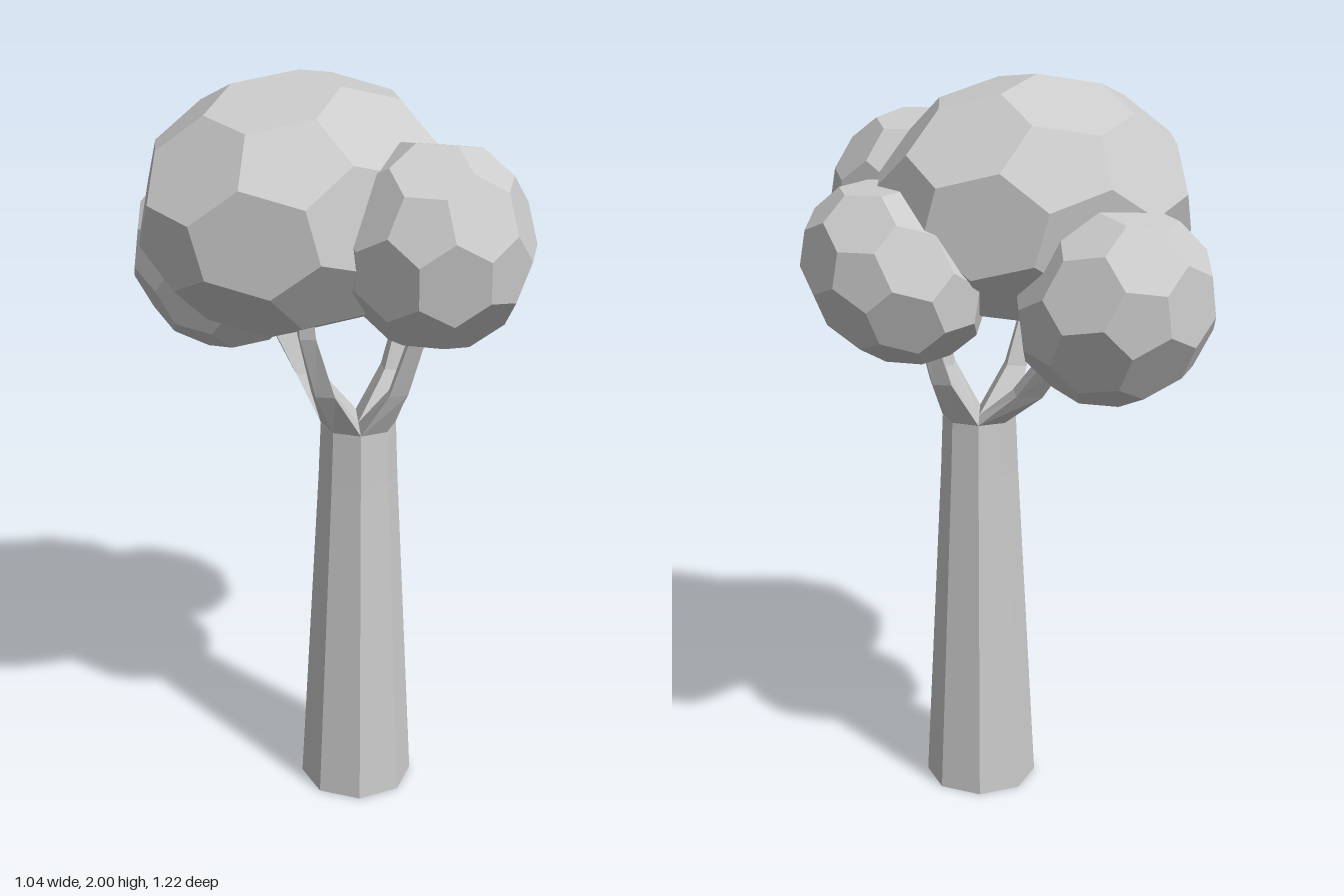
import * as THREE from 'three';
import { ConvexGeometry } from 'three/addons/geometries/ConvexGeometry.js';

const material = new THREE.MeshStandardMaterial({ color: 0xcccccc, flatShading: true });
const TRUNK_Z = 0.1;

// Corners of a ball of pentagons and hexagons: icosahedron edges cut at their thirds
function ballPoints() {
  const pos = new THREE.IcosahedronGeometry(1, 0).getAttribute('position');
  const points = [];
  const add = (p) => {
    if (!points.some((q) => q.distanceTo(p) < 0.01)) points.push(p);
  };
  for (let f = 0; f < pos.count; f += 3) {
    for (let i = 0; i < 3; i++) {
      const a = new THREE.Vector3().fromBufferAttribute(pos, f + i);
      const b = new THREE.Vector3().fromBufferAttribute(pos, f + (i + 1) % 3);
      add(a.clone().lerp(b, 1 / 3));
      add(a.clone().lerp(b, 2 / 3));
    }
  }
  return points;
}

// Faceted leaf clump, turned, squashed, tilted about x, then fitted between two corners
function clump(name, min, max, turn, squash = 1, tilt = 0) {
  const rotation = new THREE.Euler(...turn);
  const points = ballPoints().map((p) => {
    p.applyEuler(rotation);
    p.y *= squash;
    return p.applyAxisAngle(new THREE.Vector3(1, 0, 0), tilt);
  });
  const from = new THREE.Box3().setFromPoints(points);
  const to = new THREE.Box3(new THREE.Vector3(...min), new THREE.Vector3(...max));
  const scale = to.getSize(new THREE.Vector3()).divide(from.getSize(new THREE.Vector3()));
  points.forEach((p) => p.sub(from.min).multiply(scale).add(to.min));
  const mesh = new THREE.Mesh(new ConvexGeometry(points), material);
  mesh.name = name;
  return mesh;
}

// Four-sided branch; each section is [inner reach, outer reach, side reach, half width, height]
function branch(name, angle, sections) {
  const out = new THREE.Vector3(Math.sin(angle), 0, Math.cos(angle));
  const side = new THREE.Vector3(Math.cos(angle), 0, -Math.sin(angle));
  const vertices = [];
  const index = [];
  sections.forEach(([inner, outer, mid, half, y], k) => {
    for (const [r, w] of [[outer, 0], [mid, half], [inner, 0], [mid, -half]]) {
      vertices.push(out.x * r + side.x * w, y, out.z * r + side.z * w + TRUNK_Z);
    }
    if (k === 0) return;
    for (let i = 0; i < 4; i++) {
      const a = (k - 1) * 4 + i;
      const b = (k - 1) * 4 + (i + 1) % 4;
      index.push(a, b, b + 4, a, b + 4, a + 4);
    }
  });
  const geometry = new THREE.BufferGeometry();
  geometry.setAttribute('position', new THREE.Float32BufferAttribute(vertices, 3));
  geometry.setIndex(index);
  geometry.computeVertexNormals();
  const mesh = new THREE.Mesh(geometry, material);
  mesh.name = name;
  return mesh;
}

export function createModel() {
  const tree = new THREE.Group();
  tree.name = 'tree';

  // Eight-sided tapering trunk
  const profile = [[0, 0], [0.155, 0], [0.106, 0.93], [0.1, 1.08], [0, 1.08]];
  const trunk = new THREE.Mesh(
    new THREE.LatheGeometry(profile.map(([r, y]) => new THREE.Vector2(r, y)), 8), material);
  trunk.name = 'trunk';
  trunk.position.z = TRUNK_Z;
  tree.add(trunk);

  // Branches fan out from the trunk rim
  const base = [0, 0.1, 0.07, 0.07, 1.08];
  const upright = [base, [0.105, 0.168, 0.14, 0.042, 1.2], [0.17, 0.225, 0.2, 0.032, 1.37],
    [0.19, 0.24, 0.215, 0.028, 1.52]];
  const spreading = [base, [0.13, 0.24, 0.185, 0.04, 1.18], [0.22, 0.32, 0.27, 0.034, 1.28],
    [0.3, 0.38, 0.34, 0.028, 1.4]];
  tree.add(
    branch('frontBranch', 0, upright),
    branch('leftBranch', Math.PI / 2, upright),
    branch('rightBranch', -Math.PI / 2, upright),
    branch('backBranch', Math.PI, spreading),
  );

  // Leaf clumps
  tree.add(
    clump('crownFoliage', [-0.525, 1.34, -0.42], [0.355, 2, 0.37], [0.35, 0.5, 0.2]),
    clump('frontFoliage', [-0.27, 1.37, 0.13], [0.205, 1.88, 0.61], [0.6, 0.2, 0.4]),
    clump('leftFoliage', [0.08, 1.31, -0.17], [0.52, 1.745, 0.35], [0.1, 0.9, 0.3], 0.8, -0.45),
    clump('backFoliage', [-0.275, 1.21, -0.61], [0.225, 1.71, -0.12], [0.8, 0.4, 0.1], 0.9, 0.5),
  );
  return tree;
}
